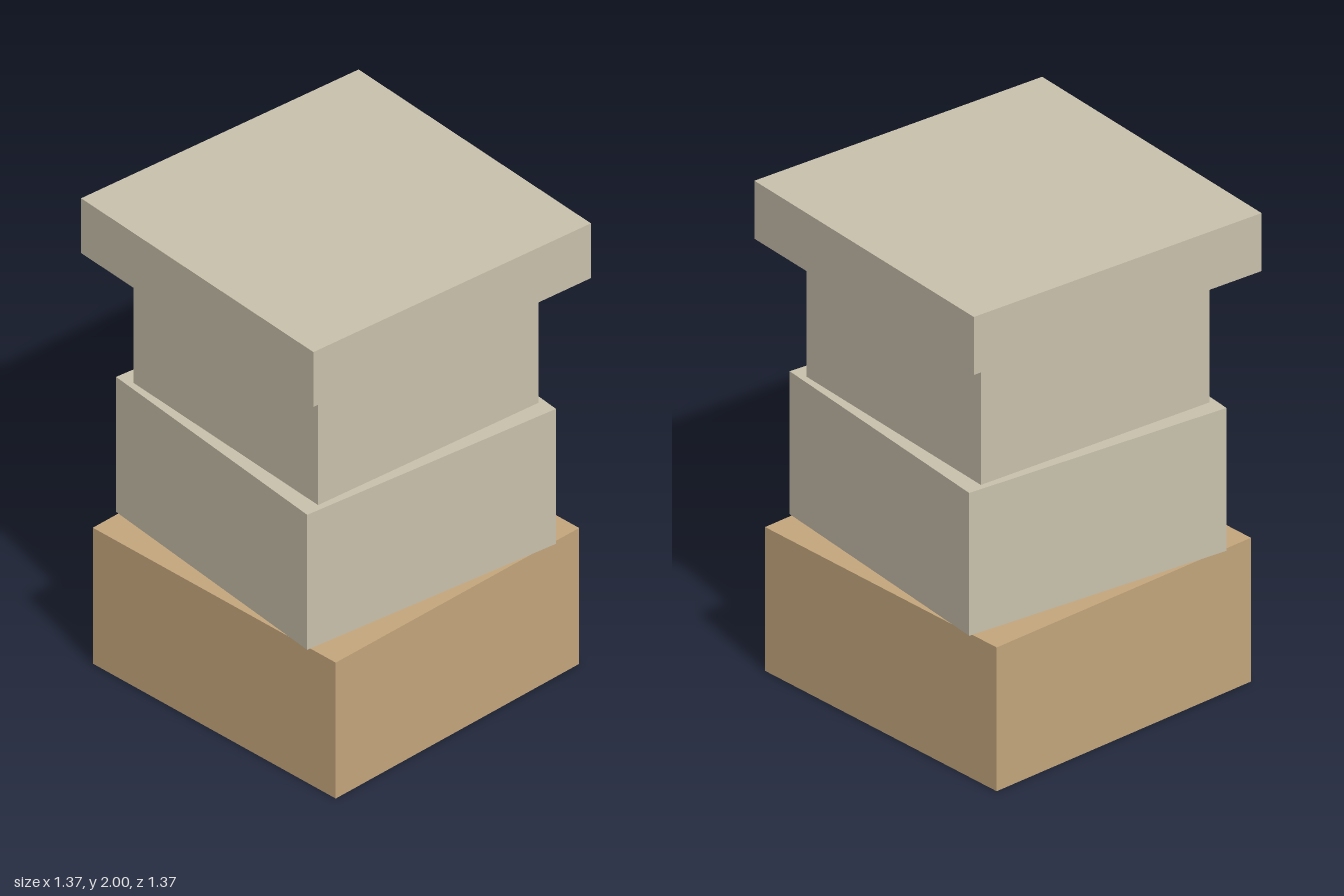
import * as THREE from 'three';

export function createModel() {
  const model = new THREE.Group();

  const stone = new THREE.MeshStandardMaterial({ color: 0xc9c1ac });
  stone.name = 'pale stone';
  const sand = new THREE.MeshStandardMaterial({ color: 0xc4a67c });
  sand.name = 'sandy brown';

  // Square block between two heights, twisted about the vertical axis
  function block(name, side, bottom, top, twist, material) {
    const mesh = new THREE.Mesh(new THREE.BoxGeometry(side, top - bottom, side), material);
    mesh.name = name;
    mesh.position.y = (bottom + top) / 2;
    mesh.rotation.y = THREE.MathUtils.degToRad(twist);
    model.add(mesh);
  }

  // Stacked from the ground up
  block('base', 1.264, 0, 0.6, 5, sand);
  block('lowerBlock', 1.153, 0.6, 1.196, -2.4, stone);
  block('upperBlock', 1.056, 1.196, 1.758, 0, stone);
  block('capSlab', 1.33, 1.758, 2, 0, stone);

  return model;
}
